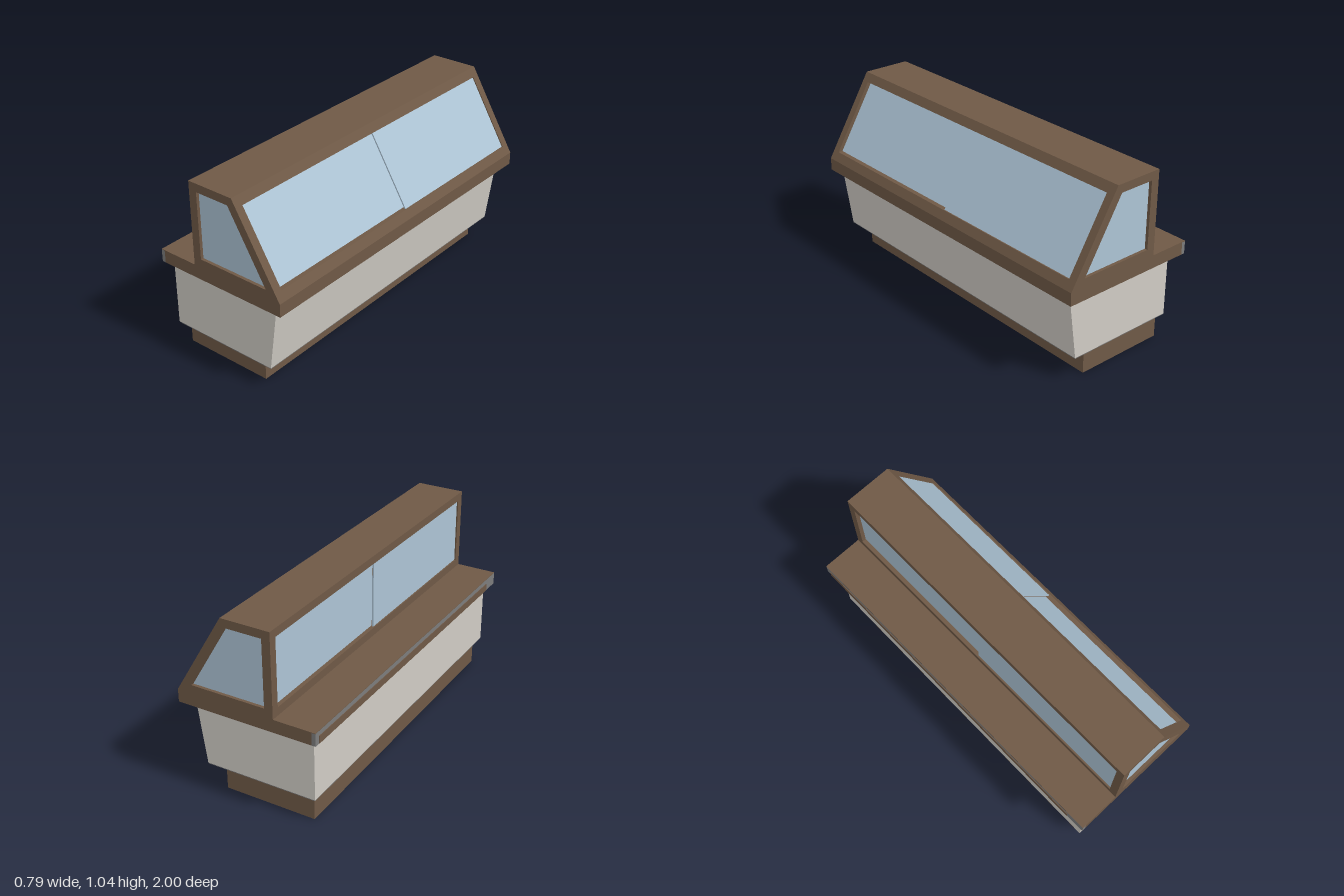
import * as THREE from 'three';

export function createModel() {
  const group = new THREE.Group();
  group.name = 'displayCounter';

  const mat = (name, color) => {
    const m = new THREE.MeshStandardMaterial({ color });
    m.name = name;
    return m;
  };
  const brown = mat('brown wood', 0x6f5946);
  const cream = mat('pale panel', 0xd0ccc5);
  const glass = mat('blue glass', 0xadc4d5);
  const grey = mat('grey metal', 0x7c7c7c);

  // Extrudes an x-y outline from z0 to z1, with an optional hole
  function prism(name, material, points, z0, z1, hole) {
    const shape = new THREE.Shape(points.map(p => new THREE.Vector2(...p)));
    if (hole) shape.holes.push(new THREE.Path(hole.map(p => new THREE.Vector2(...p))));
    const geo = new THREE.ExtrudeGeometry(shape, { depth: z1 - z0, bevelEnabled: false });
    geo.translate(0, 0, z0);
    const mesh = new THREE.Mesh(geo, material);
    mesh.name = name;
    group.add(mesh);
    return mesh;
  }
  const rect = (x0, y0, x1, y1) => [[x0, y0], [x1, y0], [x1, y1], [x0, y1]];

  const END = 0.955;                    // inner face of the end frames
  const SILL = 0.622, HEAD = 0.995;     // window opening heights
  const slantX = (y, inset = 0) => 0.395 - (y - 0.577) * 0.28 / 0.463 - inset;

  // Plinth and cabinet with a raked front
  prism('plinth', brown, rect(-0.32, 0, 0.2, 0.14), -0.905, 0.91);
  prism('cabinet', cream, [[-0.345, 0.142], [0.29, 0.142], [0.34, 0.505], [-0.345, 0.505]], -0.937, 0.967);
  prism('cabinetUnderside', grey, rect(-0.344, 0.137, 0.289, 0.142), -0.936, 0.966);

  // Ledge, window sill and roof rail between the end frames
  prism('ledge', brown, [
    [-0.372, 0.505], [0.395, 0.505], [0.395, 0.577], [slantX(SILL), SILL],
    [-0.16, SILL], [-0.16, 0.577], [-0.372, 0.577],
  ], -END, END);
  prism('roofRail', brown, [
    [-0.16, HEAD], [slantX(HEAD), HEAD], [0.115, 1.04], [-0.16, 1.04],
  ], -END, END);

  // End frames with window openings and recessed panes
  const outline = [
    [-0.372, 0.505], [0.395, 0.505], [0.395, 0.577], [0.115, 1.04],
    [-0.16, 1.04], [-0.16, 0.577], [-0.372, 0.577],
  ];
  const opening = [[-0.113, 0.624], [0.31, 0.624], [0.088, 0.994], [-0.113, 0.994]];
  for (const s of [-1, 1]) {
    const a = s * END, b = s;
    prism('endFrame', brown, outline, Math.min(a, b), Math.max(a, b), opening);
    const g0 = s * 0.975, g1 = s * 0.983;
    prism('endPane', glass, opening, Math.min(g0, g1), Math.max(g0, g1));
  }

  // Sliding panes, one of each pair set deeper than the other
  const slantPane = (inset, z0, z1) => prism('frontPane', glass, [
    [slantX(SILL, inset + 0.009), SILL], [slantX(SILL, inset), SILL],
    [slantX(HEAD, inset), HEAD], [slantX(HEAD, inset + 0.009), HEAD],
  ], z0, z1);
  slantPane(0.026, -0.03, END);
  slantPane(0.006, -END, -0.02);
  const backPane = (x, z0, z1) => prism('backPane', glass, rect(x, SILL, x + 0.009, HEAD), z0, z1);
  backPane(-0.152, -0.03, END);
  backPane(-0.137, -END, -0.02);

  // Metal edge rail on the ledge with a wooden cap and slat
  prism('edgeRail', grey, rect(-0.393, 0.505, -0.372, 0.574), -1, 1);
  prism('edgeCap', brown, rect(-0.393, 0.574, -0.372, 0.577), -1, 1);
  prism('edgeSlat', brown, rect(-0.396, 0.506, -0.393, 0.548), -0.97, 0.89);

  return group;
}
